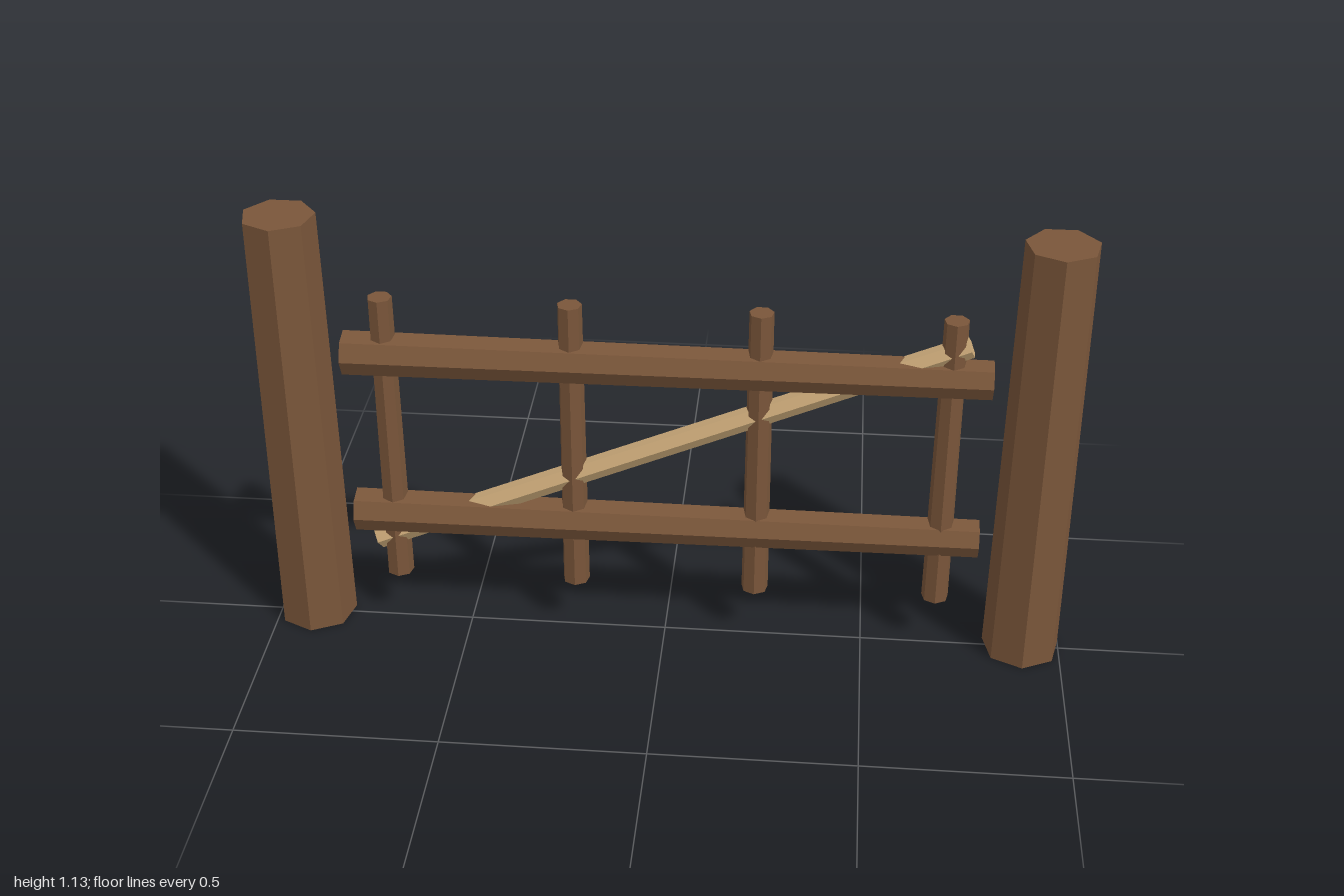
import * as THREE from 'three';

export function createModel() {
  const group = new THREE.Group();
  const brownWood = new THREE.MeshStandardMaterial({ color: 0x7a563a });
  const paleWood = new THREE.MeshStandardMaterial({ color: 0xc9a878 });
  const DEPTH = -0.005; // common z of all the poles

  // A tapered, faceted pole running from one point to another in the xy plane
  function pole(name, from, to, startRadius, endRadius, sides, material) {
    const a = new THREE.Vector2(...from);
    const d = new THREE.Vector2(...to).sub(a);
    const indexed = new THREE.CylinderGeometry(endRadius, startRadius, d.length(), sides);
    const geometry = indexed.toNonIndexed();
    geometry.computeVertexNormals(); // flat facets
    const mesh = new THREE.Mesh(geometry, material);
    mesh.name = name;
    mesh.position.set(a.x + d.x / 2, a.y + d.y / 2, DEPTH);
    mesh.rotation.z = d.angle() - Math.PI / 2;
    group.add(mesh);
  }

  // Gate posts
  for (const [name, x] of [['leftPost', 0.905], ['rightPost', -0.905]]) {
    pole(name, [x, 0], [x, 1.13], 0.0975, 0.088, 7, brownWood);
  }

  // Horizontal rails, thicker at the right-hand end of the gate
  for (const [name, y] of [['lowerRail', 0.321], ['upperRail', 0.771]]) {
    pole(name, [-0.778, y], [0.775, y], 0.055, 0.048, 7, brownWood);
  }

  // Upright pickets
  for (let i = 0; i < 4; i++) {
    const x = -0.68 + (i * 1.36) / 3;
    pole('picket' + (i + 1), [x, 0.14], [x, 0.925], 0.034, 0.03, 7, brownWood);
  }

  // Diagonal brace
  pole('brace', [-0.727, 0.238], [0.718, 0.858], 0.03, 0.027, 6, paleWood);

  return group;
}
